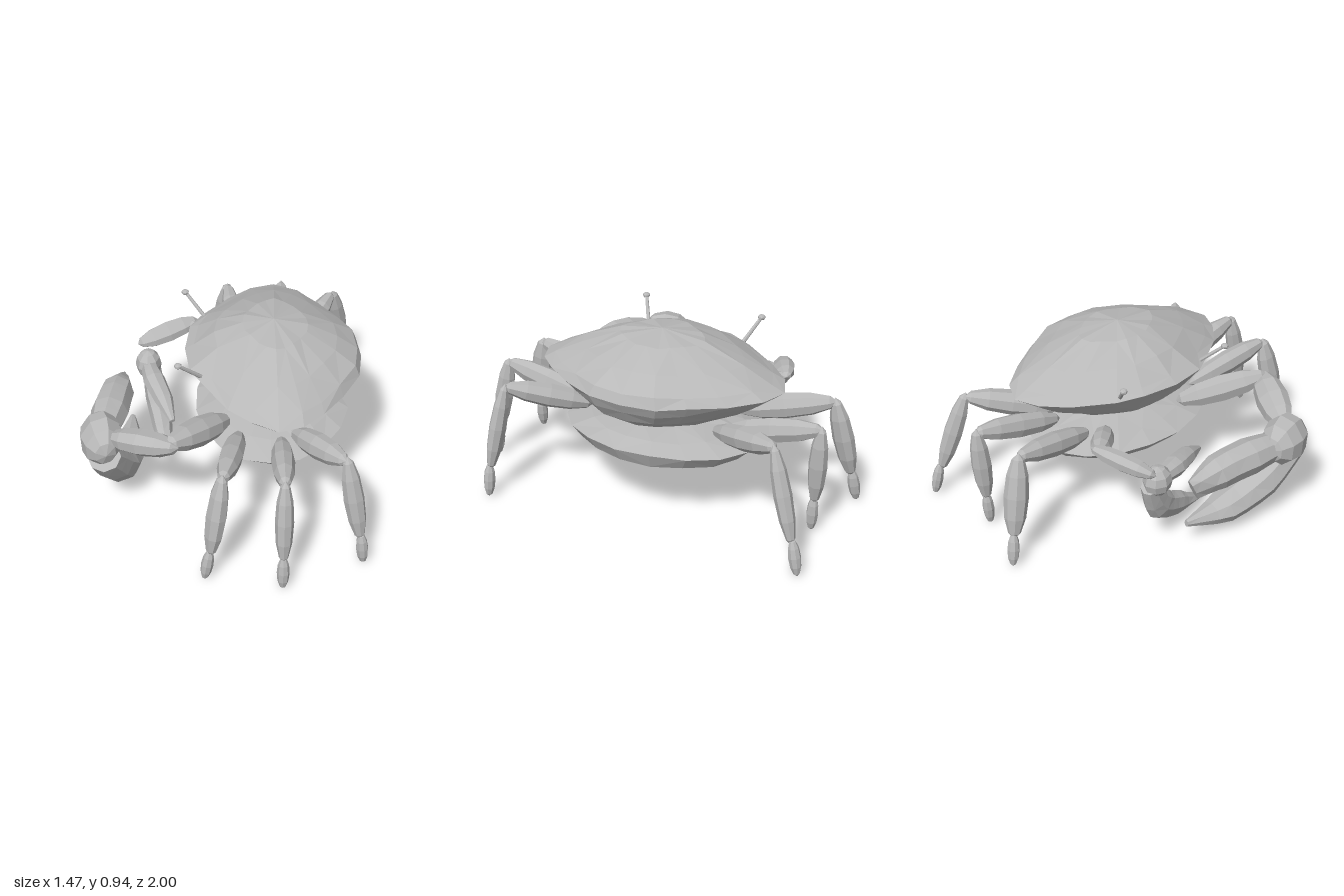
import * as THREE from 'three';

const V = (p) => new THREE.Vector3(...p);

export function createModel() {
  const crab = new THREE.Group();
  crab.name = 'crab';
  const grey = new THREE.MeshStandardMaterial({ color: 0xb8b8b8, flatShading: true });
  grey.name = 'shell grey';

  const add = (geometry, name, parent = crab) => {
    const mesh = new THREE.Mesh(geometry, grey);
    mesh.name = name;
    parent.add(mesh);
    return mesh;
  };

  // Skin between rings of equal point count
  const loft = (rings) => {
    const n = rings[0].length, pos = [], index = [];
    rings.forEach((ring) => ring.forEach((p) => pos.push(p.x, p.y, p.z)));
    for (let i = 0; i < rings.length - 1; i++) {
      for (let j = 0; j < n; j++) {
        const a = i * n + j, b = i * n + (j + 1) % n;
        if ((i + j) % 2) index.push(a, b, a + n, b, b + n, a + n);
        else index.push(a, b, b + n, a, b + n, a + n);
      }
    }
    const g = new THREE.BufferGeometry();
    g.setAttribute('position', new THREE.Float32BufferAttribute(pos, 3));
    g.setIndex(index);
    g.computeVertexNormals();
    return g;
  };

  // Faceted spindle between two points
  const spindle = (a, b, rx, rz, name, parent = crab) => {
    const p = V(a), q = V(b), d = q.clone().sub(p);
    const mesh = add(new THREE.SphereGeometry(1, 8, 6), name, parent);
    mesh.position.copy(p).add(q).multiplyScalar(0.5);
    mesh.scale.set(rx, d.length() / 2, rz);
    mesh.quaternion.setFromUnitVectors(new THREE.Vector3(0, 1, 0), d.normalize());
    return mesh;
  };

  // Curved, tapering claw finger; radii are [across, deep]
  const finger = (points, radii, name, parent) => {
    const curve = new THREE.CatmullRomCurve3(points.map(V));
    const steps = 9, sides = 8, rings = [];
    for (let i = 0; i <= steps; i++) {
      const t = i / steps, c = curve.getPoint(t), tan = curve.getTangent(t);
      const u = new THREE.Vector3(1, 0, 0).addScaledVector(tan, -tan.x).normalize();
      const v = tan.clone().cross(u);
      const s = t * (radii.length - 1), k = Math.min(Math.floor(s), radii.length - 2);
      const ru = THREE.MathUtils.lerp(radii[k][0], radii[k + 1][0], s - k);
      const rv = THREE.MathUtils.lerp(radii[k][1], radii[k + 1][1], s - k);
      const ring = [];
      for (let j = 0; j < sides; j++) {
        const w = j / sides * Math.PI * 2;
        ring.push(c.clone().addScaledVector(u, ru * Math.cos(w)).addScaledVector(v, rv * Math.sin(w)));
      }
      rings.push(ring);
    }
    rings.unshift(rings[0].map(() => curve.getPoint(0)));
    rings.push(rings[0].map(() => curve.getPoint(1)));
    add(loft(rings), name, parent);
  };

  // Outlines from above, as offsets from the middle
  const shellOutline = [
    [0.01, -0.67], [0.14, -0.61], [0.26, -0.47], [0.36, -0.31], [0.43, -0.17],
    [0.45, 0.01], [0.43, 0.19], [0.34, 0.36], [0.24, 0.51], [0.14, 0.61],
    [0.02, 0.65], [-0.11, 0.59], [-0.23, 0.49], [-0.35, 0.32], [-0.43, 0.2],
    [-0.46, 0.01], [-0.44, -0.19], [-0.38, -0.32], [-0.24, -0.51], [-0.12, -0.62],
  ];
  const bellyOutline = Array.from({ length: 18 }, (_, j) => {
    const a = j / 9 * Math.PI;
    return [0.4 * Math.sin(a), -0.545 * Math.cos(a)];
  });
  // Profile rows: ring size, height, size towards the rear (+x), rise at rear, rise at face
  const plate = (outline, cx, cz, profile) => loft(profile.map(([f, y, rear, riseRear, riseFace], i) =>
    outline.map(([x, z], j) => new THREE.Vector3(
      cx + x * (x > 0 ? rear : f),
      y + (x > 0 ? riseRear : riseFace) * (x / 0.46) ** 2 + (f ? 0.004 * Math.sin(j * 2.4 + i * 1.7) : 0),
      cz + z * f))));

  // Domed shell with its narrowing underside
  add(plate(shellOutline, 0.26, -0.01, [
    [0, 0.94, 0, 0, 0],
    [0.35, 0.908, 0.39, 0, 0.01],
    [0.67, 0.825, 0.73, 0.015, 0.03],
    [0.9, 0.752, 0.97, 0.02, 0.03],
    [1, 0.718, 1.02, 0, 0.04],
    [0.9, 0.67, 0.96, -0.01, 0.03],
    [0.76, 0.608, 0.87, -0.01, 0],
    [0.55, 0.53, 0.65, 0, 0],
    [0.3, 0.485, 0.35, 0, 0],
    [0, 0.48, 0, 0, 0],
  ]), 'carapace');
  // Belly plate
  add(plate(bellyOutline, 0.25, -0.03, [
    [0, 0.5, 0, 0, 0],
    [0.45, 0.492, 0.52, 0, 0],
    [0.75, 0.457, 0.84, 0.015, -0.01],
    [1, 0.41, 1.05, 0.03, -0.01],
    [0.88, 0.355, 0.96, 0, -0.01],
    [0.5, 0.322, 0.55, 0, 0],
    [0, 0.31, 0, 0, 0],
  ]), 'belly');

  // Walking legs: hip, knee, ankle, toe, lower leg width
  const legs = [
    ['left front leg', [0.09, 0.47, 0.35], [0.01, 0.59, 0.85], [-0.05, 0.15, 0.91], [-0.08, 0, 0.92], 0.066],
    ['left middle leg', [0.3, 0.46, 0.38], [0.31, 0.59, 0.89], [0.31, 0.16, 0.965], [0.31, 0, 0.98], 0.047],
    ['left back leg', [0.36, 0.48, 0.34], [0.61, 0.61, 0.73], [0.7, 0.15, 0.785], [0.72, 0, 0.79], 0.046],
    ['right front leg', [0.09, 0.47, -0.35], [0.01, 0.59, -0.87], [-0.04, 0.15, -0.95], [-0.06, 0, -0.98], 0.064],
    ['right middle leg', [0.3, 0.46, -0.38], [0.32, 0.59, -0.91], [0.31, 0.16, -0.87], [0.31, 0, -0.86], 0.047],
    ['right back leg', [0.36, 0.48, -0.34], [0.61, 0.61, -0.77], [0.7, 0.15, -0.9], [0.72, 0, -0.94], 0.046],
  ];
  for (const [name, hip, knee, ankle, toe, w] of legs) {
    const leg = new THREE.Group();
    leg.name = name;
    crab.add(leg);
    spindle(hip, knee, 0.06, 0.068, 'upper leg', leg);
    spindle([knee[0], knee[1] + 0.02, knee[2] - Math.sign(knee[2]) * 0.015], ankle, w, 0.053, 'lower leg', leg);
    spindle([ankle[0], ankle[1] + 0.04, ankle[2]], toe, 0.032, 0.031, 'foot', leg);
  }

  // Large left claw arm
  const big = new THREE.Group();
  big.name = 'large claw';
  crab.add(big);
  spindle([0.03, 0.45, 0.2], [-0.27, 0.6, 0.605], 0.075, 0.078, 'upper arm', big);
  spindle([-0.21, 0.58, 0.605], [-0.58, 0.5, 0.42], 0.07, 0.09, 'forearm', big);
  spindle([-0.66, 0.47, 0.24], [-0.58, 0.46, 0.53], 0.11, 0.135, 'wrist', big);
  finger([[-0.6, 0.4, 0.46], [-0.55, 0.22, 0.29], [-0.52, 0.13, 0.05], [-0.51, 0.14, -0.2]],
    [[0.09, 0.08], [0.115, 0.105], [0.1, 0.08], [0.015, 0.02]], 'lower finger', big);
  finger([[-0.62, 0.45, 0.36], [-0.595, 0.45, 0.15], [-0.57, 0.43, -0.05], [-0.545, 0.37, -0.19]],
    [[0.07, 0.07], [0.1, 0.095], [0.09, 0.095], [0.03, 0.075]], 'upper finger', big);

  // Small right claw arm
  const small = new THREE.Group();
  small.name = 'small claw';
  crab.add(small);
  spindle([0.05, 0.47, -0.27], [-0.21, 0.57, -0.525], 0.06, 0.06, 'upper arm', small);
  spindle([-0.15, 0.58, -0.53], [-0.48, 0.51, -0.38], 0.05, 0.062, 'forearm', small);
  spindle([-0.42, 0.51, -0.32], [-0.42, 0.34, -0.32], 0.072, 0.08, 'wrist', small);
  finger([[-0.41, 0.4, -0.36], [-0.38, 0.23, -0.27], [-0.34, 0.14, -0.12], [-0.31, 0.08, 0.05]],
    [[0.05, 0.05], [0.06, 0.085], [0.055, 0.07], [0.03, 0.012]], 'lower finger', small);
  finger([[-0.42, 0.43, -0.3], [-0.38, 0.42, -0.17], [-0.32, 0.39, -0.03], [-0.27, 0.35, 0.1]],
    [[0.04, 0.04], [0.06, 0.055], [0.05, 0.05], [0.015, 0.012]], 'upper finger', small);

  // Eyes on thin stalks
  for (const [name, base, tip] of [
    ['left eye', [-0.11, 0.76, 0.25], [-0.22, 0.87, 0.315]],
    ['right eye', [-0.11, 0.76, -0.3], [-0.21, 0.87, -0.36]],
  ]) {
    const a = V(base), b = V(tip), d = b.clone().sub(a);
    const stalk = add(new THREE.CylinderGeometry(0.009, 0.011, d.length(), 7), name + ' stalk');
    stalk.position.copy(a).add(b).multiplyScalar(0.5);
    stalk.quaternion.setFromUnitVectors(new THREE.Vector3(0, 1, 0), d.normalize());
    const ball = add(new THREE.SphereGeometry(0.021, 7, 5), name);
    ball.position.copy(b);
    ball.scale.y = 0.7;
  }
  return crab;
}
